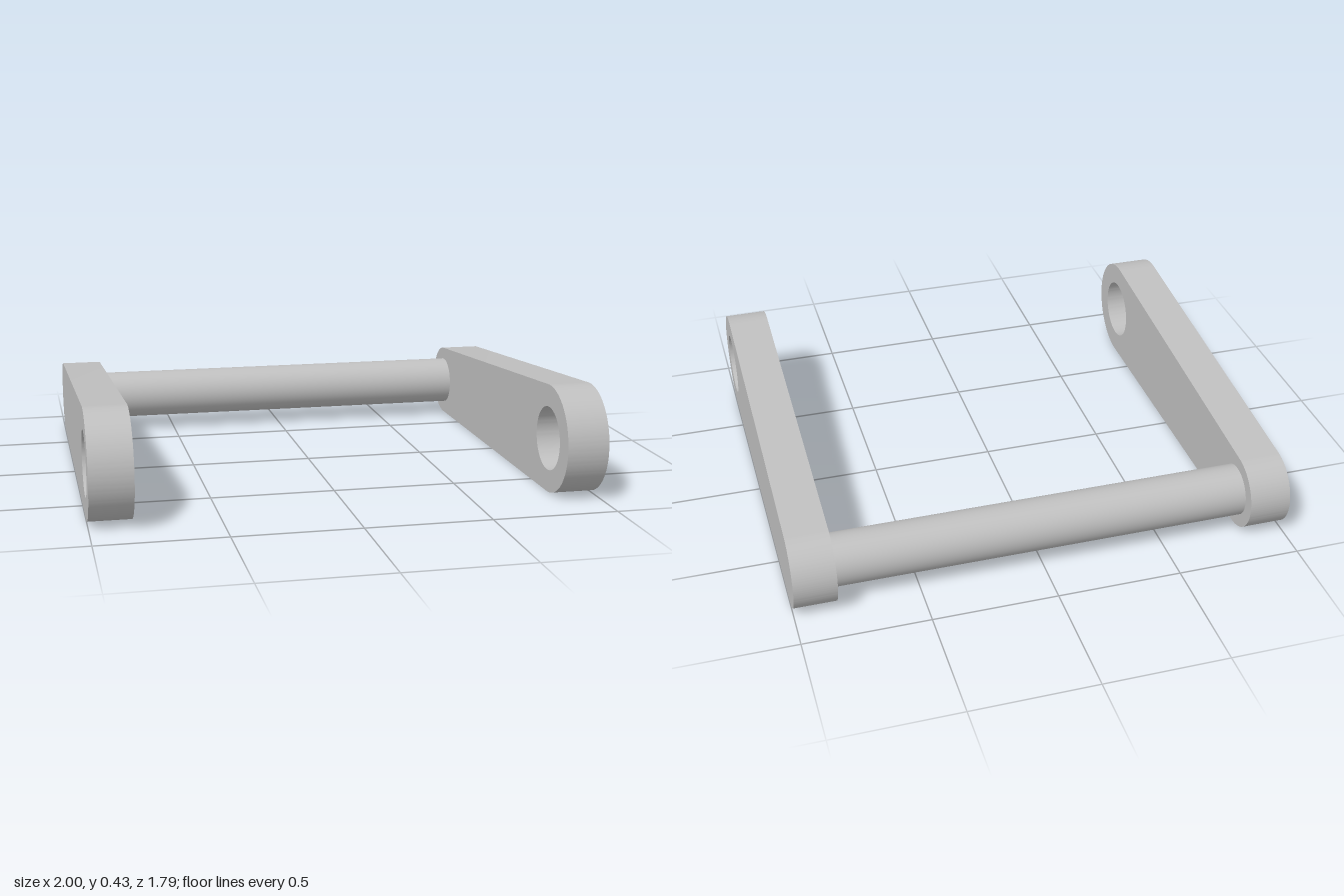
import * as THREE from 'three';
import { toCreasedNormals } from 'three/addons/utils/BufferGeometryUtils.js';

const ARM_WIDTH = 0.168;
const FRONT = { z: 0.676, r: 0.217, hole: 0.128 };
const REAR = { z: -0.737, r: 0.156, bar: 0.104 };

// Tapered arm with rounded ends: two circles resting on y = 0, joined by tangents
function armGeometry() {
  const slope = 2 * Math.atan2(FRONT.r - REAR.r, FRONT.z - REAR.z);
  const shape = new THREE.Shape();
  shape.absarc(FRONT.z, FRONT.r, FRONT.r, -Math.PI / 2, Math.PI / 2 + slope, false);
  shape.absarc(REAR.z, REAR.r, REAR.r, Math.PI / 2 + slope, Math.PI * 1.5, false);
  shape.closePath();

  // Pivot hole through the large end
  const hole = new THREE.Path();
  hole.absarc(FRONT.z, FRONT.r, FRONT.hole, 0, Math.PI * 2, true);
  shape.holes.push(hole);

  const geometry = new THREE.ExtrudeGeometry(shape, {
    depth: ARM_WIDTH, bevelEnabled: false, curveSegments: 48,
  });
  geometry.translate(0, 0, -ARM_WIDTH / 2);
  geometry.rotateY(-Math.PI / 2);
  return toCreasedNormals(geometry, Math.PI / 6);
}

export function createModel() {
  const model = new THREE.Group();
  model.name = 'handleBracket';
  const grey = new THREE.MeshStandardMaterial({ color: 0xbfbfbf });
  grey.name = 'lightGrey';

  // Pair of side arms
  const geometry = armGeometry();
  for (const [name, side] of [['leftArm', 1], ['rightArm', -1]]) {
    const arm = new THREE.Mesh(geometry, grey);
    arm.name = name;
    arm.position.x = side * (1 - ARM_WIDTH / 2);
    model.add(arm);
  }

  // Round cross bar between the small ends
  const length = 2 * (1 - ARM_WIDTH);
  const bar = new THREE.Mesh(
    new THREE.CylinderGeometry(REAR.bar, REAR.bar, length, 64, 1, true), grey);
  bar.name = 'crossBar';
  bar.rotation.z = Math.PI / 2;
  bar.position.set(0, REAR.r, REAR.z);
  model.add(bar);

  return model;
}
